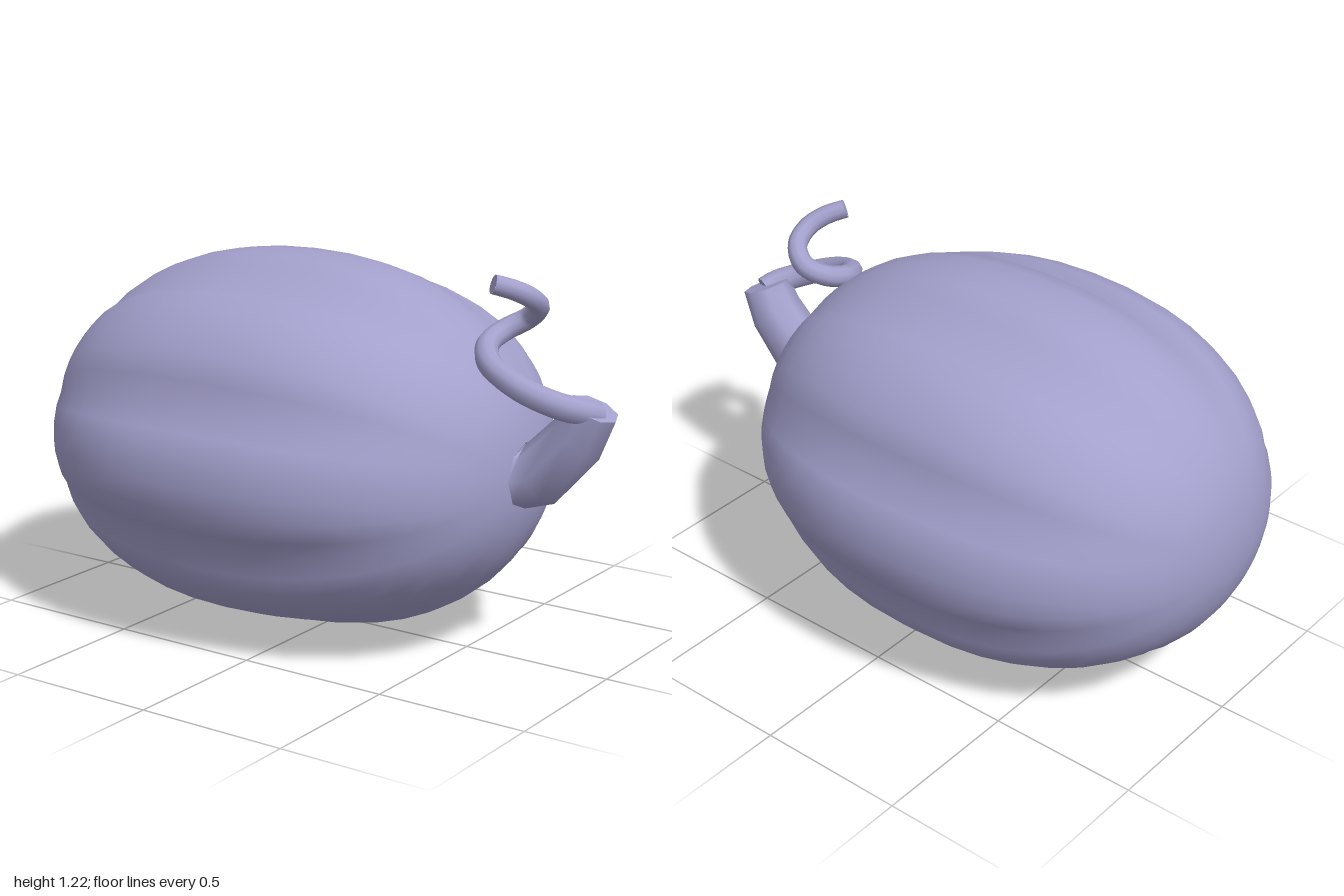
import * as THREE from 'three';
import { mergeVertices, toCreasedNormals } from 'three/addons/utils/BufferGeometryUtils.js';

const material = new THREE.MeshStandardMaterial({ color: 0xa3a0cc });

function addPart(group, name, geometry) {
  const mesh = new THREE.Mesh(geometry, material);
  mesh.name = name;
  group.add(mesh);
}

// Blunt ellipsoid lying along x, flatter below, with eight rounded ribs that fade out at the poles
function ribbedBody() {
  let geo = new THREE.SphereGeometry(1, 48, 24);
  geo.rotateZ(-Math.PI / 2);
  const pos = geo.attributes.position;
  const rib = Math.PI / 4, blunt = 2 / 2.22;
  for (let i = 0; i < pos.count; i++) {
    const x = pos.getX(i), y = pos.getY(i), z = pos.getZ(i);
    const angle = Math.atan2(z, y), rho = Math.hypot(y, z);
    const t = Math.abs(angle / rib - Math.round(angle / rib)) * 2; // 0 crest, 1 groove
    const r = Math.pow(rho, blunt) * (1 - 0.081 * Math.pow(t, 3) * rho * rho);
    pos.setXYZ(i,
      -0.147 + Math.sign(x) * Math.pow(Math.abs(x), blunt) * 0.853,
      0.586 + Math.cos(angle) * r * (y > 0 ? 0.632 : 0.581),
      Math.sin(angle) * r * 0.68);
  }
  geo.deleteAttribute('normal');
  geo.deleteAttribute('uv');
  geo = mergeVertices(geo, 1e-4);
  geo.computeVertexNormals();
  return geo;
}

// Loft of rings [x, y, radius, tilt in degrees] in the z = 0 plane
function loft(rings, sides) {
  const verts = [], index = [];
  rings.forEach(([x, y, r, tilt], i) => {
    const a = THREE.MathUtils.degToRad(tilt);
    for (let j = 0; j < sides; j++) {
      const t = (j / sides) * Math.PI * 2;
      verts.push(x - Math.sin(a) * Math.cos(t) * r, y + Math.cos(a) * Math.cos(t) * r, Math.sin(t) * r);
      if (i === 0) continue;
      const k = (j + 1) % sides, p = (i - 1) * sides, q = i * sides;
      if (rings[i - 1][2] > 0) index.push(p + j, p + k, q + j);
      if (r > 0) index.push(p + k, q + k, q + j);
    }
  });
  const geo = new THREE.BufferGeometry();
  geo.setAttribute('position', new THREE.Float32BufferAttribute(verts, 3));
  geo.setIndex(index);
  return toCreasedNormals(geo, Math.PI / 3.5);
}

// Curled tendril, tapering to its tip, with closed ends
function addTendril(group) {
  const steps = 60, sides = 10;
  const radiusAt = (u) => 0.043 - 0.013 * u;
  const path = new THREE.CatmullRomCurve3([
    [0.935, 0.825, 0], [0.92, 0.84, 0.04], [0.86, 0.865, 0.1], [0.75, 0.91, 0.138],
    [0.63, 0.96, 0.105], [0.565, 1.0, 0.01], [0.575, 1.03, -0.07], [0.63, 1.065, -0.112],
    [0.685, 1.11, -0.085], [0.695, 1.15, -0.02], [0.665, 1.18, 0.035], [0.62, 1.2, 0.08],
  ].map((p) => new THREE.Vector3(...p)));
  const tube = new THREE.TubeGeometry(path, steps, 1, sides);
  const pos = tube.attributes.position, v = new THREE.Vector3();
  for (let i = 0; i < pos.count; i++) {
    const u = Math.floor(i / (sides + 1)) / steps, c = path.getPointAt(u);
    v.fromBufferAttribute(pos, i).sub(c).multiplyScalar(radiusAt(u)).add(c);
    pos.setXYZ(i, v.x, v.y, v.z);
  }
  addPart(group, 'tendril', tube);
  for (const u of [0, 1]) {
    const cap = new THREE.CircleGeometry(radiusAt(u), sides);
    const dir = path.getTangentAt(u).multiplyScalar(u ? 1 : -1);
    cap.applyQuaternion(new THREE.Quaternion().setFromUnitVectors(new THREE.Vector3(0, 0, 1), dir));
    cap.translate(...path.getPointAt(u).toArray());
    addPart(group, 'tendrilEnd', cap);
  }
}

export function createModel() {
  const group = new THREE.Group();
  group.name = 'ribbedGourd';
  addPart(group, 'body', ribbedBody());

  // Bent, tapering eight-sided stem, closed at both ends
  addPart(group, 'stem', loft([
    [0.7, 0.603, 0, 0],
    [0.7, 0.603, 0.106, 0],
    [0.748, 0.613, 0.1, 33],
    [0.885, 0.755, 0.091, 45],
    [0.927, 0.845, 0.08, 67],
    [0.927, 0.845, 0, 67],
  ], 8));

  addTendril(group);
  return group;
}
